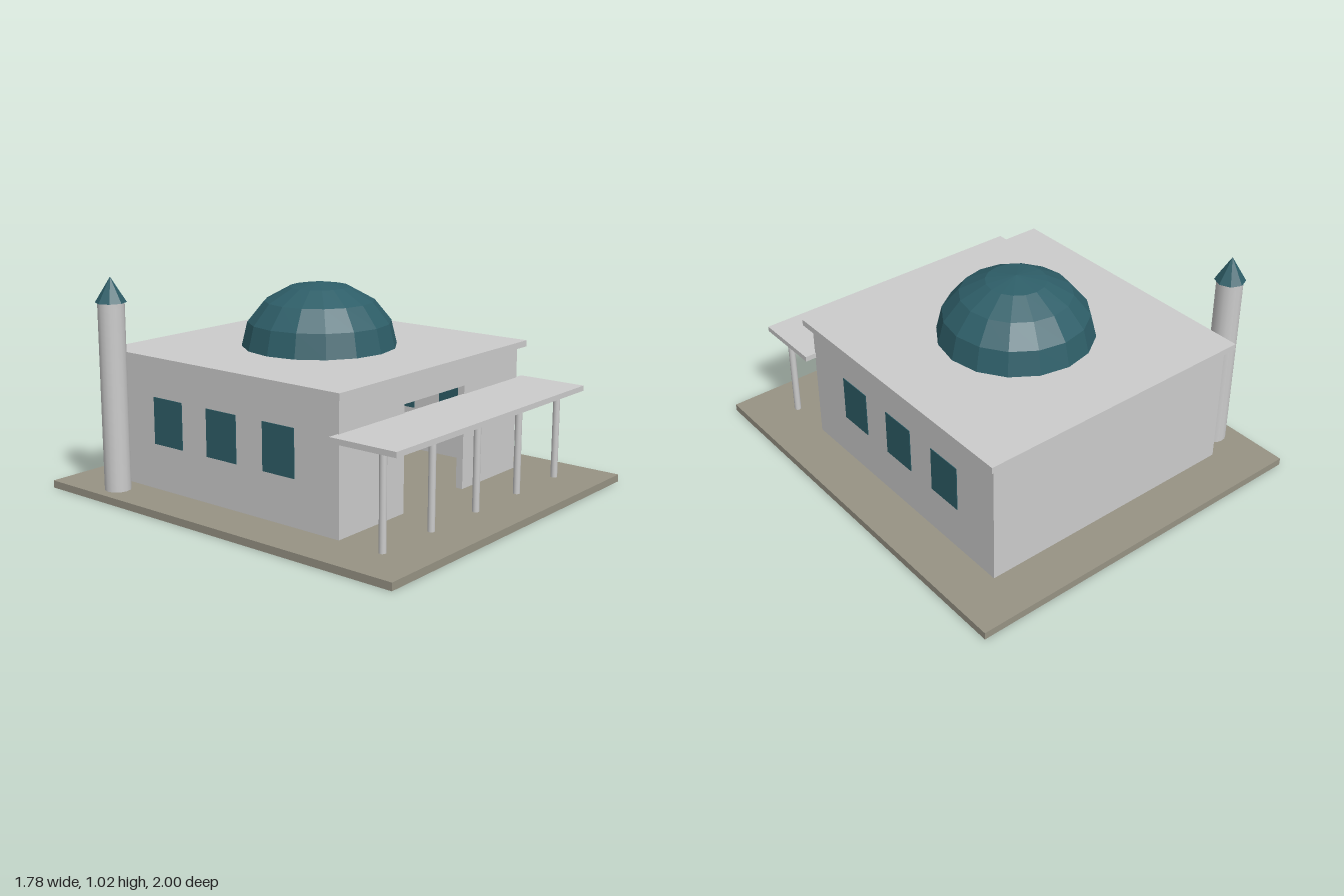
import * as THREE from 'three';

const mat = (name, color, extra = {}) => {
  const m = new THREE.MeshStandardMaterial({ color, ...extra });
  m.name = name;
  return m;
};

export function createModel() {
  const group = new THREE.Group();
  const wall = mat('pale plaster', 0xcccccc);
  const teal = mat('teal', 0x2e5e68, { flatShading: true });
  const stone = mat('paving', 0x979384);

  const add = (name, geometry, material, x = 0, y = 0, z = 0) => {
    const mesh = new THREE.Mesh(geometry, material);
    mesh.name = name;
    mesh.position.set(x, y, z);
    group.add(mesh);
    return mesh;
  };
  // Box given by its extents on each axis
  const box = (name, material, [x0, x1], [y0, y1], [z0, z1]) =>
    add(name, new THREE.BoxGeometry(x1 - x0, y1 - y0, z1 - z0), material,
      (x0 + x1) / 2, (y0 + y1) / 2, (z0 + z1) / 2);

  const floor = 0.035, top = 0.635, t = 0.035;
  const halfW = 0.665, back = -0.778, front = 0.555, door = 0.225;

  // Ground slab
  box('base', stone, [-0.89, 0.89], [0, floor], [-1, 1]);

  // Hollow prayer hall
  box('backWall', wall, [-halfW, halfW], [floor, top], [back, back + t]);
  box('lintel', wall, [-door, door], [0.525, top], [front - t, front]);
  for (const s of [-1, 1]) {
    const span = (a, b) => (s > 0 ? [a, b] : [-b, -a]);
    box('sideWall', wall, span(halfW - t, halfW), [floor, top], [back + t, front - t]);
    box('frontWall', wall, span(door, halfW), [floor, top], [front - t, front]);
    // Window panes set through the side walls
    for (const z of [0.225, -0.11, -0.443])
      box('window', teal, span(halfW - t - 0.003, halfW + 0.003), [0.25, 0.47], [z - 0.09, z + 0.09]);
  }
  box('roof', wall, [-0.698, 0.698], [top, 0.665], [-0.81, 0.585]);

  // Dome: a squashed sphere sunk half way through the roof
  const dome = add('dome', new THREE.SphereGeometry(0.365, 16, 8), teal, 0, 0.663, -0.112);
  dome.scale.y = 0.3 / 0.365;

  // Porch canopy on slender columns
  box('canopy', wall, [-0.72, 0.72], [0.46, 0.485], [0.548, 0.887]);
  for (let i = -2; i <= 2; i++)
    add('column', new THREE.CylinderGeometry(0.016, 0.016, 0.425, 12), wall, i * 0.332, 0.2475, 0.78);

  // Corner tower with pointed cap
  add('towerShaft', new THREE.CylinderGeometry(0.061, 0.061, 0.87, 16), wall, -0.78, 0.47, -0.67);
  add('towerCap', new THREE.ConeGeometry(0.071, 0.115, 8), teal, -0.78, 0.9625, -0.67);

  return group;
}
